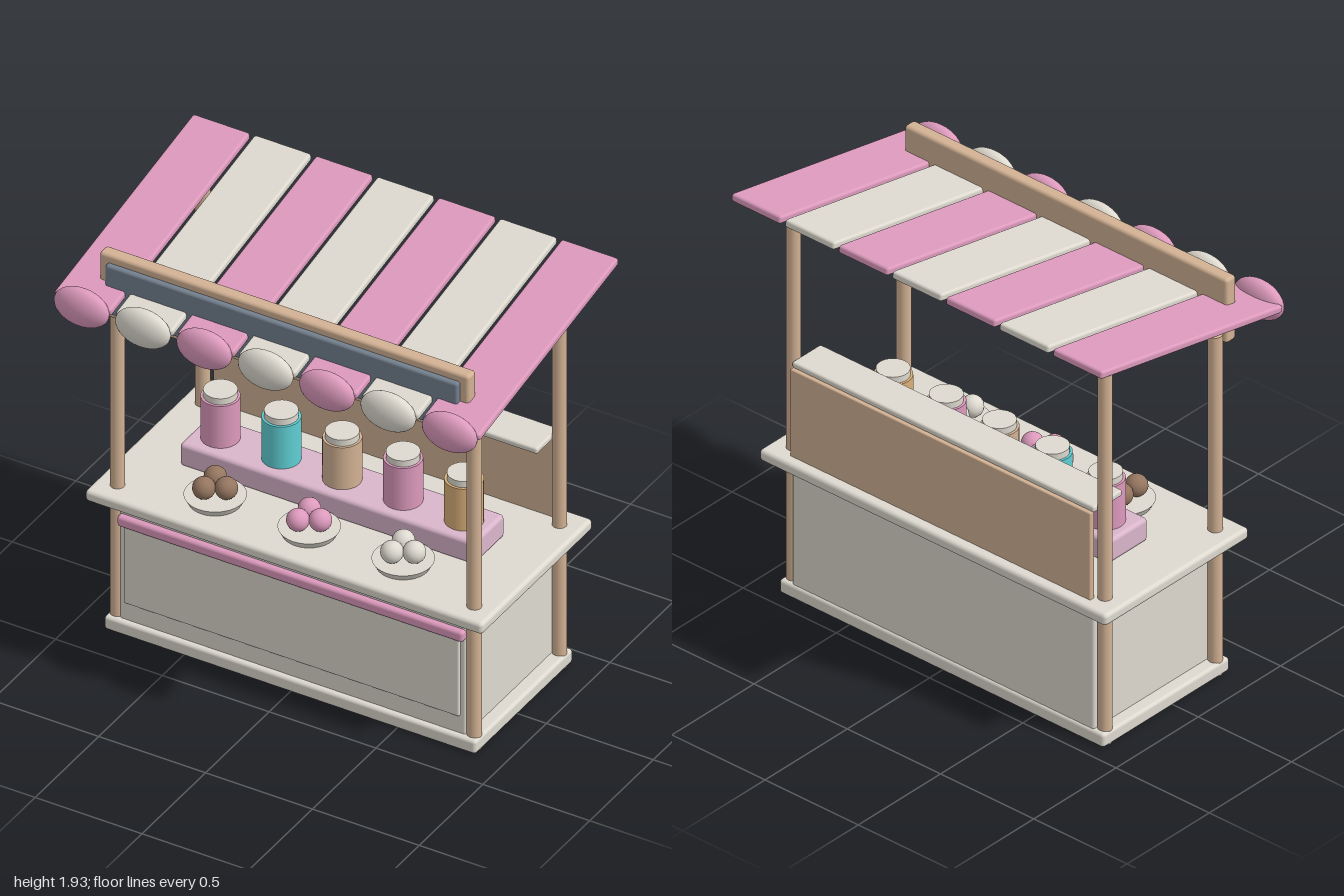
import * as THREE from 'three';
import { RoundedBoxGeometry } from 'three/addons/geometries/RoundedBoxGeometry.js';

const mat = (name, color) => {
  const m = new THREE.MeshStandardMaterial({ color });
  m.name = name;
  return m;
};

export function createModel() {
  const stall = new THREE.Group();
  stall.name = 'marketStall';

  const cream = mat('cream', 0xdedad0);
  const pink = mat('pink', 0xdd9abd);
  const palePink = mat('palePink', 0xdbb6cc);
  const wood = mat('wood', 0xd3b294);
  const slate = mat('slate', 0x74818f);
  const cyan = mat('cyan', 0x5fcfd4);
  const amber = mat('amber', 0xd9ae78);
  const brown = mat('brown', 0x957660);

  const add = (name, geometry, material, x = 0, y = 0, z = 0, parent = stall) => {
    const mesh = new THREE.Mesh(geometry, material);
    mesh.name = name;
    mesh.position.set(x, y, z);
    parent.add(mesh);
    return mesh;
  };
  // Softly bevelled box, symmetric in x, given by its y and z ranges
  const slab = (name, material, halfX, y0, y1, z0, z1, bevel) =>
    add(name, new RoundedBoxGeometry(halfX * 2, y1 - y0, z1 - z0, 2, bevel),
      material, 0, (y0 + y1) / 2, (z0 + z1) / 2);

  // Cabinet and counter
  slab('plinth', cream, 0.87, 0, 0.065, -0.43, 0.34, 0.015);
  slab('cabinet', cream, 0.81, 0.05, 0.65, -0.42, 0.315, 0.012);
  slab('frontPanel', cream, 0.785, 0.15, 0.53, 0.30, 0.328, 0.008);
  slab('frontRail', pink, 0.81, 0.525, 0.577, 0.30, 0.342, 0.015);
  slab('counter', cream, 0.93, 0.635, 0.69, -0.485, 0.39, 0.018);

  // Back board with its narrow shelf, and the raised display step
  slab('backBoard', wood, 0.805, 0.68, 1.105, -0.437, -0.41, 0.006);
  slab('backShelf', cream, 0.81, 1.1, 1.13, -0.42, -0.245, 0.01);
  slab('displayStep', palePink, 0.69, 0.69, 0.80, -0.195, 0.048, 0.018);

  // Corner posts, the rear pair taller
  for (const side of [-1, 1]) {
    for (const [name, z, h] of [['frontPost', 0.29, 1.625], ['backPost', -0.38, 1.768]]) {
      add(name, new THREE.CylinderGeometry(0.031, 0.031, h, 20), wood, side * 0.835, h / 2, z);
    }
  }

  // Sweet jars with lids
  const jarGeo = new THREE.CylinderGeometry(0.081, 0.081, 0.205, 28);
  const lidGeo = new THREE.CylinderGeometry(0.07, 0.07, 0.035, 28);
  [pink, cyan, wood, pink, amber].forEach((material, i) => {
    const jar = new THREE.Group();
    jar.name = 'jar';
    jar.position.set((i - 2) * 0.285, 0.8, -0.075);
    add('jarBody', jarGeo, material, 0, 0.1025, 0, jar);
    add('jarLid', lidGeo, cream, 0, 0.2175, 0, jar);
    stall.add(jar);
  });

  // Plates, each with three round sweets
  const plateGeo = new THREE.CylinderGeometry(0.128, 0.11, 0.032, 32);
  const sweetGeo = new THREE.SphereGeometry(0.048, 20, 14);
  [brown, pink, cream].forEach((material, i) => {
    const plate = new THREE.Group();
    plate.name = 'plateOfSweets';
    plate.position.set((i - 1) * 0.44, 0.69, 0.185);
    add('plate', plateGeo, cream, 0, 0.016, 0, plate);
    for (let k = 0; k < 3; k++) {
      const a = (k * Math.PI * 2) / 3;
      add('sweet', sweetGeo, material, Math.cos(a) * 0.052, 0.08, Math.sin(a) * 0.052, plate);
    }
    stall.add(plate);
  });

  // Sloping striped awning with a rounded scallop at the front of every strip
  const stripGeo = new RoundedBoxGeometry(0.266, 0.036, 1.12, 2, 0.012);
  const scallopGeo = new THREE.SphereGeometry(1, 28, 18);
  for (let i = -3; i <= 3; i++) {
    const material = i % 2 ? pink : cream;
    const x = i * 0.2875;
    add('awningStrip', stripGeo, material, x, 1.81, -0.03).rotation.x = 0.195;
    add('awningScallop', scallopGeo, material, x * 0.9985, 1.692, 0.527).scale.set(0.127, 0.088, 0.052);
  }

  // Blank sign board: wooden backing with a slate face
  slab('signBacking', wood, 0.865, 1.57, 1.877, 0.325, 0.385, 0.015);
  slab('signFace', slate, 0.825, 1.603, 1.84, 0.37, 0.408, 0.012);

  return stall;
}
